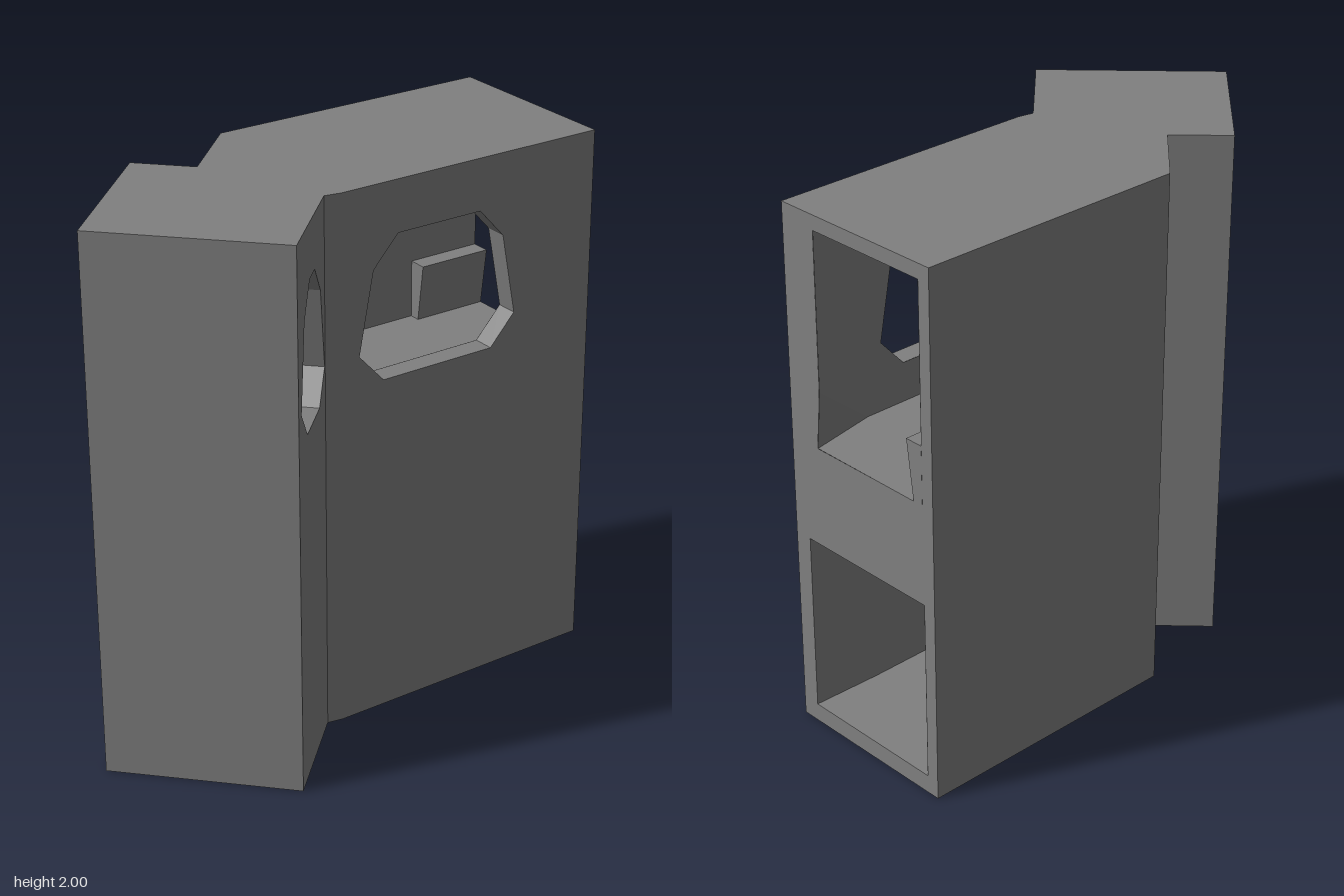
import * as THREE from 'three';

const HEIGHT = 2, REVEAL = 0.08, LEDGE_TOP = 1.36;

// Plan outline as [x, z], anticlockwise seen from above
const OUTLINE = [
  [-0.745, 0.865], [-0.05, 0.865], [-0.05, 0.43], [0, 0.395], [0.745, -0.365],
  [0.24, -0.865], [-0.515, -0.1], [-0.515, 0.24], [-0.745, 0.24],
];

// Bent passages: edges 4 and 8 of each plan are the open ends.
// Below the knee height a corner listed in feet slopes out to that spot.
const PASSAGES = [
  { name: 'lowerPassage', y0: 0.07, knee: 0.4, y1: 0.76, windows: false, feet: {}, plan: [
    [-0.745, 0.8], [-0.13, 0.84], [-0.13, 0.413], [0.5, -0.23], [0.695, -0.415],
    [0.276, -0.83], [-0.47, -0.07], [-0.47, 0.3], [-0.745, 0.3]] },
  { name: 'upperPassage', y0: 1.14, knee: LEDGE_TOP, y1: 1.945, windows: true,
    feet: { 4: [0.649, -0.459], 8: [-0.745, 0.32] }, plan: [
      [-0.745, 0.8], [-0.13, 0.84], [-0.13, 0.413], [0.5, -0.23], [0.635, -0.473],
      [0.276, -0.83], [-0.47, -0.07], [-0.47, 0.32], [-0.745, 0.41]] },
];

// Eight-sided windows as points on the outer walls
const SIDE_WINDOW = [
  [0.82, 1.4], [0.76, 1.7], [0.67, 1.81], [0.59, 1.81],
  [0.5, 1.7], [0.44, 1.4], [0.53, 1.29], [0.73, 1.29],
].map(([z, y]) => new THREE.Vector3(-0.05, y, z));
const WING_WINDOW = [
  [0.05, 1.4], [0.09, 1.7], [0.16, 1.81], [0.4, 1.81],
  [0.47, 1.7], [0.51, 1.4], [0.44, 1.29], [0.12, 1.29],
].map(([x, y]) => new THREE.Vector3(x, y, 0.395 - 1.0201 * x));

const material = new THREE.MeshStandardMaterial({
  color: 0x808080, flatShading: true, side: THREE.DoubleSide,
});

function mesh(name, geometry) {
  const m = new THREE.Mesh(geometry, material);
  m.name = name;
  return m;
}

const point = ([x, z], y) => new THREE.Vector3(x, y, z);

// Outward normal of a wall running from a to b
function wallNormal(a, b) {
  return new THREE.Vector3(a[1] - b[1], 0, b[0] - a[0]).normalize();
}

// Upright wall from a to b, with holes given as points in space
function wall(name, a, b, y0, y1, holes = []) {
  const along = new THREE.Vector3(b[0] - a[0], 0, b[1] - a[1]);
  const length = along.length();
  along.normalize();
  const origin = point(a, 0);
  const shape = new THREE.Shape([[0, y0], [length, y0], [length, y1], [0, y1]]
    .map((p) => new THREE.Vector2(...p)));
  for (const hole of holes) {
    shape.holes.push(new THREE.Path(hole.map((p) =>
      new THREE.Vector2(p.clone().sub(origin).dot(along), p.y))));
  }
  const basis = new THREE.Matrix4()
    .makeBasis(along, new THREE.Vector3(0, 1, 0), wallNormal(a, b))
    .setPosition(origin);
  return mesh(name, new THREE.ShapeGeometry(shape).applyMatrix4(basis));
}

// Level surface over a plan, facing up or down
function level(name, plan, y, up) {
  const s = up ? -1 : 1;
  const shape = new THREE.Shape(plan.map(([x, z]) => new THREE.Vector2(x, s * z)));
  const g = new THREE.ShapeGeometry(shape).rotateX(s * Math.PI / 2).translate(0, y, 0);
  return mesh(name, g);
}

// Strip joining two matching rows of points, closed into a ring or left open
function strip(name, rowA, rowB, closed) {
  const n = rowA.length, index = [];
  for (let i = 0; i < (closed ? n : n - 1); i++) {
    const j = (i + 1) % n;
    index.push(i, n + i, j, j, n + i, n + j);
  }
  const g = new THREE.BufferGeometry().setFromPoints([...rowA, ...rowB]);
  g.setIndex(index);
  g.computeVertexNormals();
  return mesh(name, g);
}

// Corner line of a passage from ceiling through the knee to the floor
function corner({ plan, feet, y0, knee, y1 }, i) {
  const k = i % plan.length;
  return [point(plan[k], y1), point(plan[k], knee), point(feet[k] ?? plan[k], y0)];
}

// Open end of a passage on edge i of its plan
const mouth = (passage, i) => [...corner(passage, i), ...corner(passage, i + 1).reverse()];

export function createModel() {
  const model = new THREE.Group();
  model.name = 'bentBuilding';

  // Outer shell
  const shell = new THREE.Group();
  shell.name = 'shell';
  const outerHoles = {
    1: [SIDE_WINDOW],
    3: [WING_WINDOW],
    4: PASSAGES.map((p) => mouth(p, 4)),
    8: PASSAGES.map((p) => mouth(p, 8)),
  };
  OUTLINE.forEach((a, i) => {
    const b = OUTLINE[(i + 1) % OUTLINE.length];
    shell.add(wall('outerWall', a, b, 0, HEIGHT, outerHoles[i]));
  });
  shell.add(level('roof', OUTLINE, HEIGHT, true), level('base', OUTLINE, 0, false));
  model.add(shell);

  // Window reveals, and the matching holes in the inner walls
  const inner = [[SIDE_WINDOW, 1, 'sideWindowReveal'], [WING_WINDOW, 3, 'wingWindowReveal']]
    .map(([points, edge, name]) => {
      const n = wallNormal(OUTLINE[edge], OUTLINE[edge + 1]);
      const loop = points.map((p) => p.clone().addScaledVector(n, -REVEAL));
      model.add(strip(name, points, loop, true));
      return loop;
    });

  // Passages: inward-facing walls, floor and ceiling
  for (const passage of PASSAGES) {
    const { name, plan, feet, y0, y1, windows } = passage;
    const group = new THREE.Group();
    group.name = name;
    plan.forEach((a, i) => {
      if (i === 4 || i === 8) return;
      group.add(windows && (i === 1 || i === 2)
        ? wall('windowWall', plan[i + 1], a, y0, y1, [inner[i - 1]])
        : strip('innerWall', corner(passage, i), corner(passage, i + 1), false));
    });
    group.add(level('floor', plan.map((p, i) => feet[i] ?? p), y0, true));
    group.add(level('ceiling', plan, y1, false));
    model.add(group);
  }

  // Ledge with a sloping face along the back wall, just inside the upper end
  const ledge = new THREE.Group();
  ledge.name = 'ledge';
  const top = [[0.276, -0.83], [0.07, -0.62], [0.12, -0.57], [0.327, -0.779]];
  const foot = [[0.276, -0.83], [0.07, -0.62], [0.1, -0.59], [0.306, -0.8]];
  ledge.add(level('ledgeTop', top, LEDGE_TOP, true));
  ledge.add(strip('ledgeSides', top.map((p) => point(p, LEDGE_TOP)),
    foot.map((p) => point(p, PASSAGES[1].y0)), true));
  model.add(ledge);

  return model;
}
